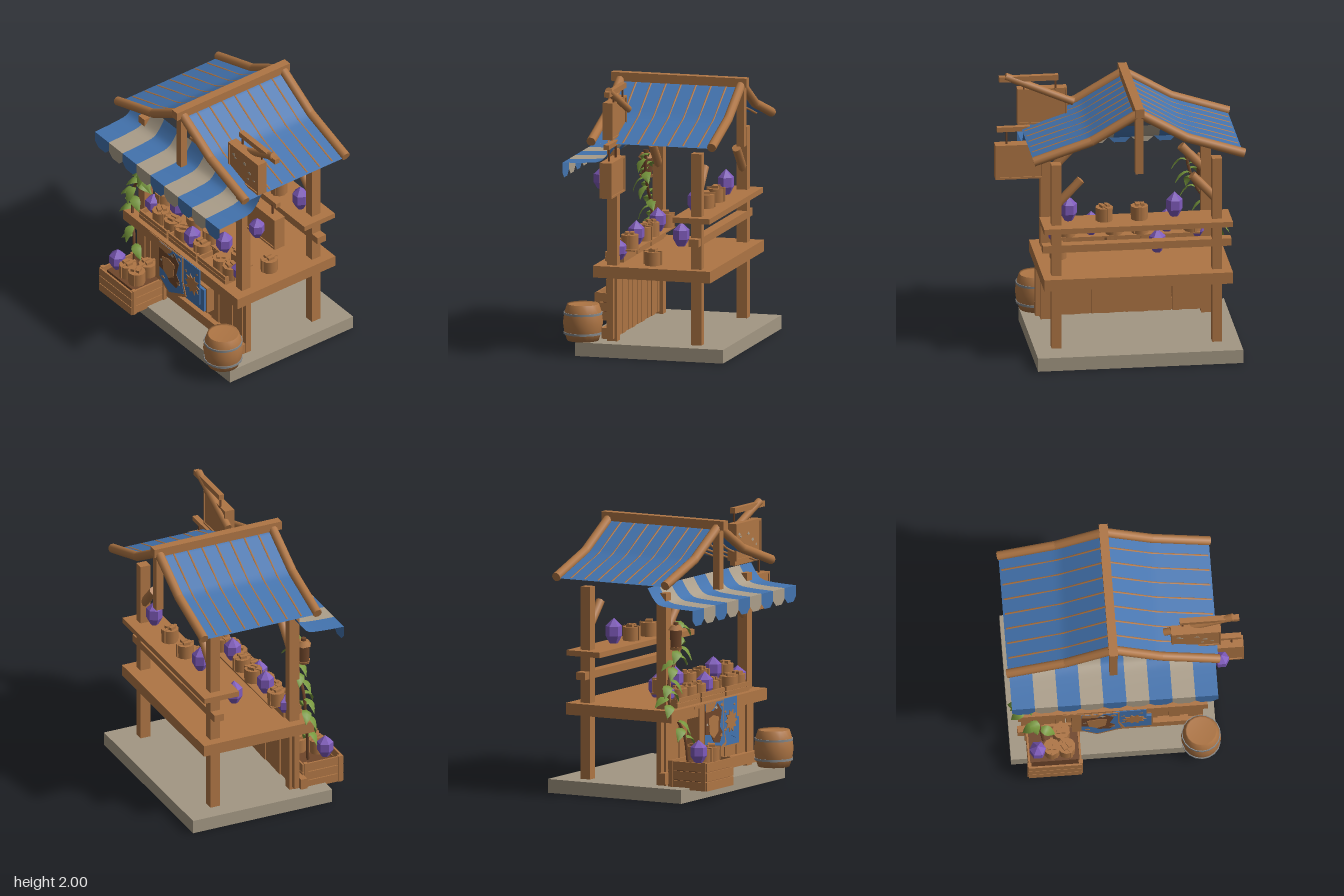
import * as THREE from 'three';

const mat = (name, color, side = THREE.FrontSide) => {
  const m = new THREE.MeshStandardMaterial({ color, side });
  m.name = name;
  return m;
};

export function createModel() {
  const root = new THREE.Group();
  const D = THREE.DoubleSide;
  const wood = mat('wood', 0xae7544), darkWood = mat('dark wood', 0x70462a);
  const stone = mat('stone', 0xa39783), blue = mat('blue cloth', 0x4373ae, D);
  const beige = mat('beige cloth', 0xab9e8a, D), purple = mat('purple crystal', 0x7e5aba);
  const green = mat('leaf green', 0x76963c, D), metal = mat('iron', 0x85888a);
  purple.flatShading = true;

  const V = (x, y, z) => new THREE.Vector3(x, y, z);
  const add = (name, geo, material, parent = root) => {
    const m = new THREE.Mesh(geo, material);
    m.name = name;
    parent.add(m);
    return m;
  };
  // box given by its limits on each axis
  const box = (name, x0, x1, y0, y1, z0, z1, m = wood, parent = root) => {
    const b = add(name, new THREE.BoxGeometry(x1 - x0, y1 - y0, z1 - z0), m, parent);
    b.position.set((x0 + x1) / 2, (y0 + y1) / 2, (z0 + z1) / 2);
    return b;
  };
  // round log between two points
  const log = (name, a, b, r, sides = 10) => {
    const c = add(name, new THREE.CylinderGeometry(r, r, a.distanceTo(b), sides), wood);
    c.position.copy(a).lerp(b, 0.5);
    c.quaternion.setFromUnitVectors(V(0, 1, 0), b.clone().sub(a).normalize());
  };
  // grid surface from a function of u and v
  const sheet = (name, nu, nv, f, m) => {
    const g = new THREE.PlaneGeometry(1, 1, nu, nv), p = g.attributes.position;
    for (let i = 0; i < p.count; i++) p.setXYZ(i, ...f(p.getX(i) + 0.5, 0.5 - p.getY(i)));
    g.computeVertexNormals();
    add(name, g, m);
  };
  const plate = (name, pts, z, m, depth = 0.006) => {
    const s = new THREE.Shape(pts.map(([x, y]) => new THREE.Vector2(x, y)));
    add(name, new THREE.ExtrudeGeometry(s, { depth, bevelEnabled: false }), m).position.z = z;
  };
  const fleck = (x, y, r, z, m) =>
    plate('paintFleck', [[x - r, y], [x, y - r * 0.6], [x + r, y - r * 0.3], [x + r * 0.3, y + r * 0.7]], z, m, 0.004);

  // base, posts and braces
  box('base', -0.84, 0.65, 0, 0.1, -0.63, 0.48, stone);
  for (const z of [0.24, -0.392]) for (const [x, s] of [[-0.676, 1], [0.49, -1]]) {
    box('post', x - 0.036, x + 0.036, 0.1, 1.5, z - 0.039, z + 0.039);
    log('brace', V(x, 1.18, z), V(x + s * 0.18, 1.37, z), 0.033, 8);
  }

  // counter, shelf, rails and front planks
  box('counter', -0.78, 0.59, 0.57, 0.655, -0.515, 0.365);
  box('backShelf', -0.78, 0.59, 1.0, 1.04, -0.51, -0.235);
  box('backRail', -0.78, 0.59, 0.83, 0.885, -0.43, -0.355);
  box('frontRail', -0.78, 0.56, 0.12, 0.2, 0.26, 0.31);
  for (let i = 0; i < 16; i++) {
    const x = -0.75 + i * 0.082;
    box('frontPlank', x, x + (i === 3 ? 0.07 : 0.0815), 0.12, 0.57, 0.222 + (i % 3) * 0.004, 0.262 + (i % 2) * 0.009);
  }
  box('frontTrim', -0.39, -0.33, 0.29, 0.65, 0.27, 0.37);
  box('frontTrim', -0.46, -0.39, 0.63, 0.65, 0.3, 0.37);

  // roof frame and cloth, sagging either side of the ridge
  const cx = -0.093, prof = [[0, 1.915], [0.345, 1.715], [0.765, 1.578]];
  const roofY = d => d < 0.345 ? 1.905 - d / 0.345 * 0.2 : 1.705 - (d - 0.345) / 0.42 * 0.137;
  box('ridgeBeam', -0.125, -0.061, 1.895, 1.96, -0.597, 0.42);
  for (const z of [0.355, -0.55]) {
    box('kingPost', cx - 0.028, cx + 0.028, 1.46, 1.92, z - 0.028, z + 0.028);
    for (const s of [-1, 1]) {
      const pts = prof.map(([d, y]) => V(cx + s * d, y, z));
      log('rafter', pts[0], pts[1], 0.034);
      log('rafter', pts[1], pts[2], 0.034);
      add('rafterJoint', new THREE.SphereGeometry(0.034, 10, 8), wood).position.copy(pts[1]);
    }
  }
  sheet('roofCloth', 36, 1, (u, v) => {
    const x = (u - 0.5) * 1.52;
    return [cx + x, roofY(Math.abs(x)), -0.55 + v * 0.905];
  }, blue);
  for (let i = 0; i < 7; i++) for (const s of [-1, 1]) {
    const pts = [0.02, 0.18, 0.345, 0.55, 0.745].map(d => V(cx + s * d, roofY(d) - 0.005, -0.44 + i * 0.1125));
    add('roofSlat', new THREE.TubeGeometry(new THREE.CatmullRomCurve3(pts), 16, 0.0095, 6), wood);
  }

  // striped awning with a notched valance
  const fall = new THREE.CatmullRomCurve3([V(0, 1.55, 0.2), V(0, 1.485, 0.24), V(0, 1.435, 0.29),
    V(0, 1.418, 0.4), V(0, 1.41, 0.575)]);
  const w = 1.49 / 9;
  for (let i = 0; i < 9; i++) {
    const x = -0.84 + i * w, m = i % 2 ? beige : blue;
    sheet('awningStripe', 1, 12, (u, v) => {
      const p = fall.getPoint(v);
      return [x + u * w, p.y, p.z];
    }, m);
    const s = new THREE.Shape([[0, 1.41], [0, 1.335], [0.25, 1.295], [0.75, 1.295], [1, 1.335], [1, 1.41]]
      .map(([u, y]) => new THREE.Vector2(x + u * w, y)));
    add('valance', new THREE.ShapeGeometry(s), m).position.z = 0.575;
  }

  // goods: crystals and pots
  const gemGeo = new THREE.LatheGeometry([[0, 0], [0.5, 0], [1, 0.3], [1, 0.68], [0, 1]]
    .map(([r, y]) => new THREE.Vector2(r, y)), 6);
  const gem = (x, y, z, h = 0.175, r = 0.06) => {
    const g = add('crystal', gemGeo, purple);
    g.position.set(x, y, z);
    g.scale.set(r, h, r);
    g.rotation.y = Math.PI / 6;
  };
  const potGeo = new THREE.CylinderGeometry(0.064, 0.062, 0.1, 10);
  const pot = (x, y, z, turn = 0) => {
    const g = new THREE.Group();
    g.name = 'pot';
    add('potBody', potGeo, wood, g).position.y = 0.05;
    box('potStrap', -0.01, 0.01, 0.005, 0.106, -0.068, 0.068, wood, g);
    for (const s of [-0.022, 0.016]) box('potLoop', s - 0.014, s + 0.014, 0.1, 0.12, -0.025, 0.025, wood, g);
    g.position.set(x, y, z);
    g.rotation.y = turn;
    root.add(g);
  };
  gem(-0.375, 1.05, -0.35, 0.185);
  gem(0.393, 1.05, -0.35, 0.185);
  pot(-0.12, 1.04, -0.35);
  pot(0.135, 1.04, -0.35, 0.4);
  for (const x of [-0.57, -0.19, 0, 0.34]) pot(x, 0.752, 0.16, x * 5);
  for (const x of [-0.48, -0.34, -0.21, 0.01, 0.24, 0.36]) pot(x, 0.68, 0.25, x * 4);
  gem(-0.385, 0.752, 0.165); gem(0.165, 0.752, 0.165);
  gem(-0.105, 0.682, 0.25); gem(-0.61, 0.682, 0.22, 0.15); gem(0.42, 0.682, 0.22, 0.15);
  pot(0.43, 0.655, -0.04); gem(-0.29, 0.67, -0.04);

  // counter trays and the step behind them
  box('trayStep', -0.62, 0.42, 0.742, 0.752, 0.1, 0.2);
  for (const x of [-0.635, -0.285, 0.065]) {
    const e = x + 0.33;
    box('trayFloor', x, e, 0.655, 0.682, 0.195, 0.32);
    box('trayFront', x, e, 0.66, 0.69, 0.32, 0.332);
    box('trayFront', x, e, 0.695, 0.725, 0.32, 0.332);
    box('trayBack', x, e, 0.655, 0.742, 0.19, 0.202);
    for (const s of [x, e - 0.012]) box('traySide', s, s + 0.012, 0.655, 0.72, 0.2, 0.322);
  }

  // barrel
  const barrel = new THREE.Group();
  barrel.name = 'barrel';
  barrel.position.set(0.535, 0.1, 0.455);
  root.add(barrel);
  const stave = [[0, 0], [0.115, 0], [0.135, 0.06], [0.145, 0.133], [0.135, 0.205], [0.115, 0.266], [0.105, 0.256], [0, 0.256]];
  add('barrelBody', new THREE.LatheGeometry(stave.map(p => new THREE.Vector2(...p)), 18), wood, barrel);
  for (const y of [0.055, 0.198])
    add('barrelHoop', new THREE.CylinderGeometry(0.141, 0.141, 0.016, 18), metal, barrel).position.y = y;

  // planter crate, open at the bottom front
  const [px0, px1, pz0, pz1] = [-0.73, -0.33, 0.3, 0.625];
  for (let i = 0; i < 3; i++) {
    const y = 0.085 + i * 0.069;
    for (const z of [pz0, pz1 - 0.014]) box('crateSlat', px0 + 0.008, px1 - 0.008, y, y + 0.063, z, z + 0.014);
    for (const x of [px0 + 0.008, px1 - 0.022]) box('crateSlat', x, x + 0.014, y, y + 0.063, pz0, pz1);
  }
  for (const x of [px0, px1 - 0.03]) for (const z of [pz0 + 0.012, pz1 - 0.042])
    box('crateCorner', x, x + 0.03, 0.085, 0.292, z, z + 0.03);
  box('crateFill', px0 + 0.02, px1 - 0.02, 0.11, 0.25, pz0 + 0.02, 0.565, darkWood);
  gem(-0.65, 0.28, 0.515, 0.165);
  pot(-0.545, 0.27, 0.5); pot(-0.44, 0.27, 0.5, 0.5); pot(-0.47, 0.27, 0.38);

  // climbing vine with drooping leaves, tilted a little to the front
  const stem = new THREE.CatmullRomCurve3([V(-0.6, 0.25, 0.4), V(-0.63, 0.48, 0.38), V(-0.73, 0.7, 0.32),
    V(-0.72, 0.87, 0.31), V(-0.62, 1.02, 0.31), V(-0.57, 1.15, 0.31), V(-0.54, 1.28, 0.3)]);
  add('vineStem', new THREE.TubeGeometry(stem, 40, 0.012, 6), darkWood);
  const leafGeo = new THREE.PlaneGeometry(1, 1, 5, 2), lp = leafGeo.attributes.position;
  for (let i = 0; i < lp.count; i++) {
    const t = lp.getX(i) + 0.5, v = lp.getY(i);
    const half = 0.075 * Math.sin(Math.PI * Math.min(1, 0.08 + t * 0.92));
    lp.setXYZ(i, t * 0.12, 0.075 * t - 0.14 * t * t - Math.abs(v) * 0.02, -v * half);
  }
  leafGeo.computeVertexNormals();
  for (let i = 0; i < 20; i++) {
    const l = add('leaf', leafGeo, green);
    l.position.copy(stem.getPoint(0.15 + i / 19 * 0.85));
    l.rotation.set(0.3, [-0.4, 3.6, -1.3, 0.3, -2.6, 2.9][i % 6], 0);
  }

  // lantern on the left front post
  const lantern = (r0, r1, y0, y1, m) =>
    add('lantern', new THREE.CylinderGeometry(r1, r0, y1 - y0, 6), m).position.set(-0.665, (y0 + y1) / 2, 0.335);
  lantern(0.045, 0.052, 1.09, 1.11, wood);
  lantern(0.045, 0.05, 1.11, 1.235, darkWood);
  lantern(0.06, 0.035, 1.235, 1.27, wood);
  lantern(0.02, 0.02, 1.27, 1.29, darkWood);

  // hanging signs
  const framed = (name, x0, x1, y0, y1, z0, z1) => {
    const t = 0.014;
    box(name + 'Board', x0, x1, y0, y1, z0 + 0.008, z1 - 0.008);
    for (const x of [x0, x1 - t]) box(name + 'Frame', x, x + t, y0, y1, z0, z1);
    for (const y of [y0, y1 - t]) box(name + 'Frame', x0, x1, y, y + t, z0, z1);
  };
  framed('upperSign', 0.335, 0.695, 1.6, 1.87, 0.185, 0.26);
  box('upperSignBar', 0.4, 0.83, 1.935, 1.975, 0.17, 0.21);
  log('upperSignBeam', V(0.29, 1.76, 0.19), V(0.785, 1.975, 0.19), 0.028);
  for (const x of [0.42, 0.65]) box('signHanger', x - 0.006, x + 0.006, 1.86, 1.94, 0.185, 0.197, darkWood);
  for (const [x, y, r] of [[0.39, 1.79, 0.018], [0.41, 1.77, 0.014], [0.52, 1.78, 0.018], [0.58, 1.73, 0.02], [0.56, 1.67, 0.013], [0.63, 1.69, 0.012]])
    fleck(x, y, r, 0.25, beige);
  framed('lowerSign', 0.51, 0.86, 1.2, 1.46, 0.145, 0.235);
  box('lowerSignBar', 0.4, 0.845, 1.555, 1.59, 0.17, 0.21);
  for (const x of [0.6, 0.775]) box('signHanger', x - 0.006, x + 0.006, 1.45, 1.56, 0.184, 0.196, darkWood);
  gem(0.695, 1.245, 0.27, 0.16, 0.057);

  // plaque and banners hung on the counter front
  box('plaque', -0.1, 0.195, 0.295, 0.51, 0.28, 0.345);
  box('plaqueFace', -0.09, 0.185, 0.31, 0.5, 0.345, 0.366, blue);
  plate('sunBanner', [[-0.09, 0.655], [-0.09, 0.4], [0, 0.36], [0.06, 0.38], [0.145, 0.35], [0.145, 0.655]], 0.367, blue);
  const star = Array.from({ length: 20 }, (_, i) => {
    const r = i % 2 ? 0.055 : 0.085, a = i / 20 * Math.PI * 2;
    return [0.06 + r * Math.cos(a), 0.485 + r * Math.sin(a)];
  });
  plate('sunEmblem', star, 0.372, wood);
  plate('shieldBanner', [[-0.33, 0.655], [-0.33, 0.33], [-0.21, 0.235], [-0.01, 0.33], [-0.05, 0.45], [-0.05, 0.655]], 0.373, wood);
  plate('shieldField', [[-0.325, 0.65], [-0.325, 0.345], [-0.21, 0.262], [-0.035, 0.345], [-0.06, 0.45], [-0.06, 0.65]], 0.376, blue);
  plate('shieldPatch', [[-0.325, 0.6], [-0.325, 0.43], [-0.25, 0.42], [-0.2, 0.36], [-0.12, 0.35], [-0.08, 0.42], [-0.12, 0.47],
    [-0.09, 0.58], [-0.15, 0.64], [-0.2, 0.59]], 0.379, darkWood);
  plate('shieldPatchLight', [[-0.32, 0.65], [-0.32, 0.59], [-0.25, 0.59], [-0.2, 0.61], [-0.17, 0.65]], 0.379, wood);
  plate('shieldEmblem', [[-0.285, 0.54], [-0.27, 0.43], [-0.21, 0.39], [-0.15, 0.43], [-0.14, 0.54], [-0.21, 0.56]], 0.38, wood, 0.009);
  for (const [x, y, r, m] of [[-0.17, 0.61, 0.02, beige], [-0.3, 0.5, 0.014, beige], [-0.09, 0.62, 0.02, wood], [-0.1, 0.4, 0.02, wood], [-0.28, 0.36, 0.018, wood]])
    fleck(x, y, r, 0.382, m);
  for (const [x, y, r] of [[-0.02, 0.56, 0.016], [-0.02, 0.43, 0.018], [0.11, 0.6, 0.014]]) fleck(x, y, r, 0.371, wood);
  return root;
}
